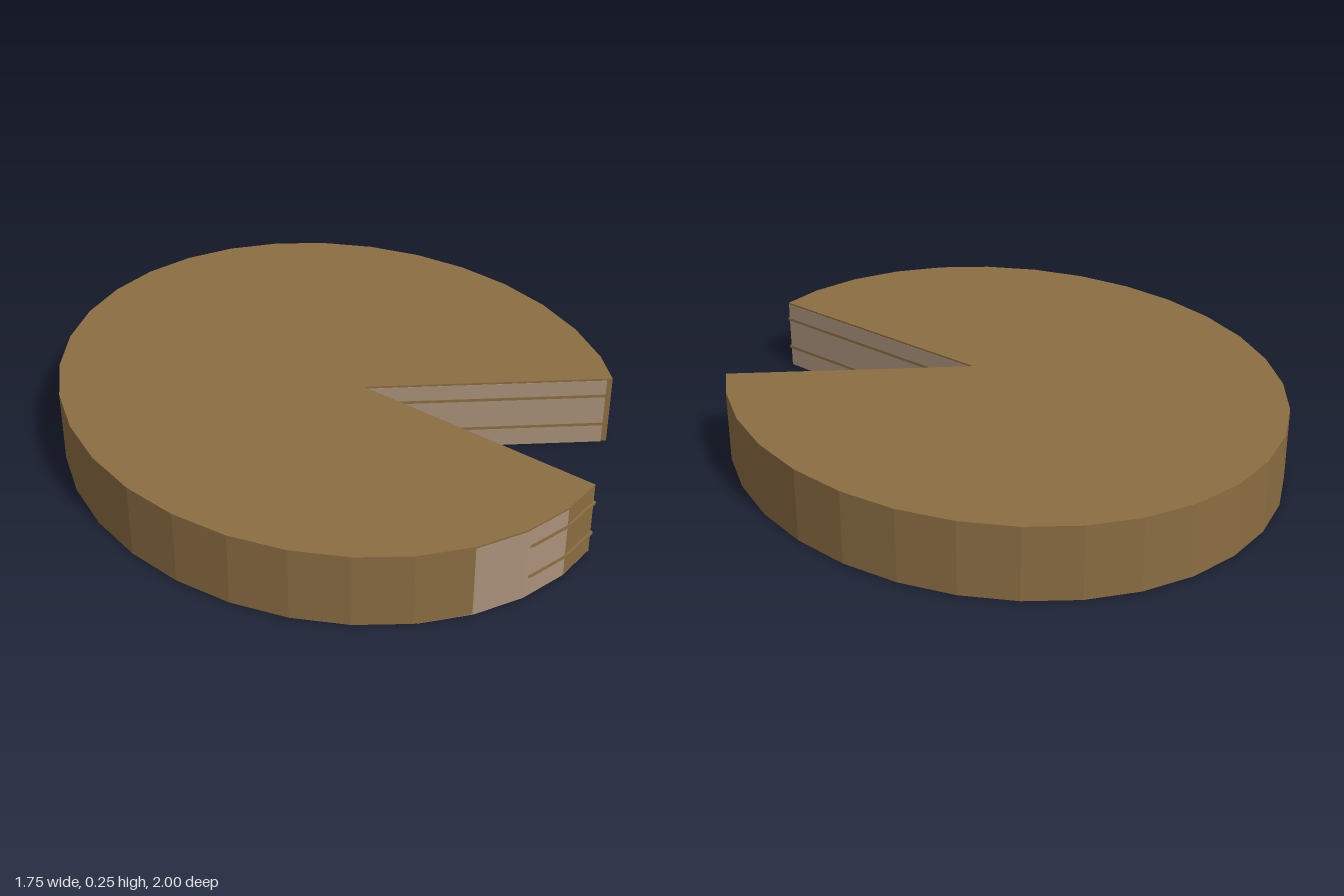
import * as THREE from 'three';

const SEGMENTS = 32;
const CUT_START = THREE.MathUtils.degToRad(29.4); // wedge edges, measured from +x towards +z
const CUT_END = THREE.MathUtils.degToRad(72);
const CUT_MID = (CUT_START + CUT_END) / 2;

const cross = (a, b) => a.x * b.y - a.y * b.x;

// Where a ray from the wedge tip meets the faceted rim
function hitRim(tip, angle, rim) {
  const dir = new THREE.Vector2(Math.cos(angle), Math.sin(angle));
  for (let i = 0; i < rim.length; i++) {
    const start = rim[i].clone().sub(tip);
    const edge = rim[(i + 1) % rim.length].clone().sub(rim[i]);
    const den = cross(dir, edge);
    const t = cross(start, edge) / den;
    const u = cross(start, dir) / den;
    if (t > 0 && u >= 0 && u < 1) return tip.clone().addScaledVector(dir, t);
  }
  return tip.clone();
}

// Oval disc with a wedge removed; proud pushes the cut faces slightly into the gap
function cutDisc(name, material, { rx, rz, x = 0, z = 0, bottom, top, proud = 0 }) {
  const rim = [];
  for (let i = 0; i < SEGMENTS; i++) {
    const a = (i / SEGMENTS) * Math.PI * 2;
    rim.push(new THREE.Vector2(x + rx * Math.cos(a), z + rz * Math.sin(a)));
  }
  const tip = new THREE.Vector2(0.04 + proud * Math.cos(CUT_MID), 0.11 + proud * Math.sin(CUT_MID));
  const turn = Math.PI * 2;
  const kept = rim
    .map((p) => {
      const a = Math.atan2(p.y - tip.y, p.x - tip.x) - CUT_END;
      return { p, a: (a + turn * 2) % turn };
    })
    .filter(({ a }) => a > 0.001 && a < CUT_START + turn - CUT_END - 0.001)
    .sort((m, n) => m.a - n.a)
    .map(({ p }) => p);
  const shape = new THREE.Shape([tip, hitRim(tip, CUT_END, rim), ...kept, hitRim(tip, CUT_START, rim)]);
  const geometry = new THREE.ExtrudeGeometry(shape, { depth: top - bottom, bevelEnabled: false });
  geometry.rotateX(Math.PI / 2).translate(0, top, 0);
  const mesh = new THREE.Mesh(geometry, material);
  mesh.name = name;
  return mesh;
}

export function createModel() {
  const model = new THREE.Group();
  model.name = 'cutCake';
  const brown = new THREE.MeshStandardMaterial({ color: 0x8b6d42 });
  const cream = new THREE.MeshStandardMaterial({ color: 0xa8917a });

  // Icing around the whole cake
  model.add(cutDisc('icing', brown, { rx: 0.875, rz: 1, bottom: 0.002, top: 0.245 }));

  // Sponge, set forward so that it just shows through the front
  model.add(cutDisc('sponge', cream, { rx: 0.84, rz: 0.96, z: 0.041, bottom: 0, top: 0.238, proud: 0.003 }));

  // Two thin fillings, peeking out beside the cut
  for (const [name, y] of [['lowerFilling', 0.07], ['upperFilling', 0.18]]) {
    model.add(cutDisc(name, brown, {
      rx: 0.815, rz: 0.96, x: 0.03, z: 0.041, bottom: y - 0.005, top: y + 0.005, proud: 0.006,
    }));
  }
  return model;
}
